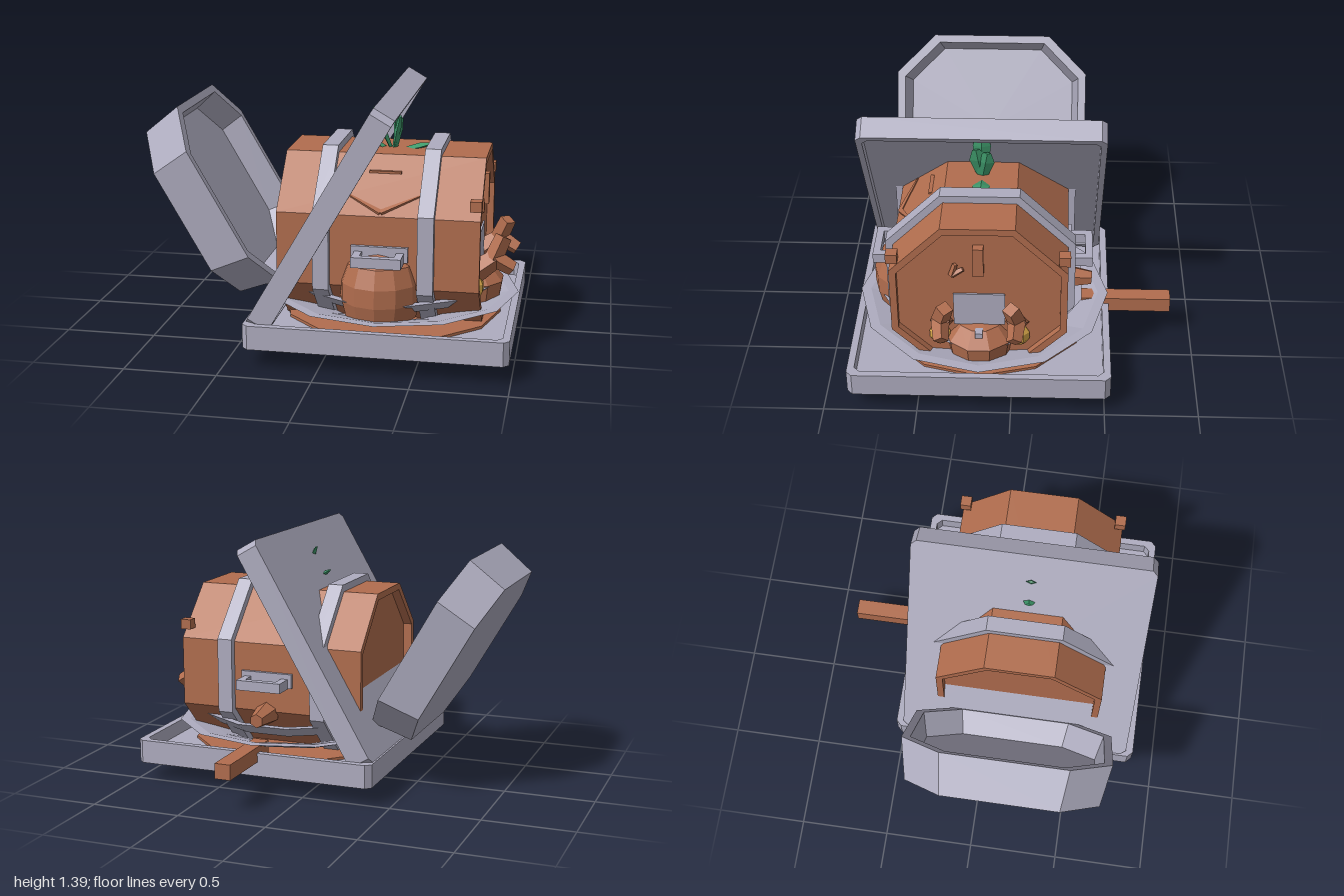
import * as THREE from 'three';

const wood = new THREE.MeshStandardMaterial({ color: 0xb16d4e });
const metal = new THREE.MeshStandardMaterial({ color: 0xaeacbf });
const leafGreen = new THREE.MeshStandardMaterial({ color: 0x3f9a6c });
const gold = new THREE.MeshStandardMaterial({ color: 0xd9a94a });
const metalSheet = new THREE.MeshStandardMaterial({ color: 0xaeacbf, side: THREE.DoubleSide });

const CX = 0.295, CZ = 0.17;

// Outline of a rectangle with cut corners, in the x-z plane
function cutRect(hx, hz, c) {
  return [[hx, -hz + c], [hx, hz - c], [hx - c, hz], [-hx + c, hz],
    [-hx, hz - c], [-hx, -hz + c], [-hx + c, -hz], [hx - c, -hz]];
}

// Regular outline with n sides
function ngon(n, r, turn = 0) {
  return Array.from({ length: n }, (_, i) => {
    const a = (i / n) * Math.PI * 2 + turn;
    return [r * Math.cos(a), r * Math.sin(a)];
  });
}

// Flat-shaded loft of an outline through [scale, height] rings
function loft(outline, rings) {
  const pos = [], n = outline.length;
  const at = (k, i) => {
    const [s, h] = rings[k], p = outline[i % n];
    return [p[0] * s, h, p[1] * s];
  };
  for (let k = 0; k < rings.length - 1; k++) {
    for (let i = 0; i < n; i++) {
      const a = at(k, i), b = at(k + 1, i), c = at(k + 1, i + 1), d = at(k, i + 1);
      if (rings[k + 1][0] > 0) pos.push(...a, ...b, ...c);
      if (rings[k][0] > 0) pos.push(...a, ...c, ...d);
    }
  }
  const g = new THREE.BufferGeometry();
  g.setAttribute('position', new THREE.Float32BufferAttribute(pos, 3));
  return g;
}

export function createModel() {
  const root = new THREE.Group();

  function add(name, geo, mat, x = 0, y = 0, z = 0, rz = 0) {
    const g = geo.index ? geo.toNonIndexed() : geo;
    g.computeVertexNormals();
    const m = new THREE.Mesh(g, mat);
    m.name = name;
    m.position.set(x, y, z);
    m.rotation.z = rz;
    root.add(m);
    return m;
  }
  const box = (name, mat, w, h, d, x, y, z, rz = 0) =>
    add(name, new THREE.BoxGeometry(w, h, d), mat, x, y, z, rz);

  // Tapered square bar between two points
  function bar(name, mat, a, b, r0, r1, sides = 4) {
    const p = new THREE.Vector3(...a), q = new THREE.Vector3(...b);
    const d = q.clone().sub(p);
    const m = add(name, new THREE.CylinderGeometry(r1, r0, d.length(), sides), mat);
    m.position.copy(p).add(q).multiplyScalar(0.5);
    m.quaternion.setFromUnitVectors(new THREE.Vector3(0, 1, 0), d.normalize());
    return m;
  }

  // Square tray, and its raised lid with the recess facing down
  add('tray', loft(cutRect(0.695, 0.70, 0.03),
    [[0, 0], [1, 0], [1, 0.13], [0.945, 0.13], [0.945, 0.05], [0, 0.05]]), metal, CX, 0.11, CZ);
  add('lid', loft(cutRect(0.67, 0.657, 0.03),
    [[0, 0], [1, 0], [1, 0.125], [0.95, 0.125], [0.95, 0.08], [0, 0.08]]),
  metal, -0.055, 0.82, CZ, -Math.PI * 2 / 3);

  // Eight-sided tub leaning outwards
  add('leaningTub', loft(cutRect(0.54, 0.555, 0.22),
    [[0, 0], [0.93, 0], [1, 0.235], [0.92, 0.235], [0.86, 0.1], [0, 0.1]]),
  metal, -0.755, 0.725, 0.165, -Math.PI / 3);

  // Barrel with recessed ends, lying along x
  const oct = ngon(8, 1 / Math.cos(Math.PI / 8), Math.PI / 8);
  const L = 1.07, A = 0.463;
  add('barrel', loft(oct, [[0, 0.05], [A * 0.92, 0.05], [A * 0.92, 0], [A, 0], [A, L],
    [A * 0.92, L], [A * 0.92, L - 0.04], [0, L - 0.04]]), wood, -0.26, 0.605, CZ, -Math.PI / 2);
  for (const x of [-0.06, 0.49]) {
    add('barrelBand', loft(oct, [[0.45, 0], [0.503, 0], [0.503, 0.085], [0.45, 0.085]]),
      metal, x, 0.605, CZ, -Math.PI / 2);
  }

  // End face: plate, nose peg and cracked sliver
  box('endPlate', metal, 0.01, 0.2, 0.27, 0.778, 0.535, CZ);
  box('nosePeg', wood, 0.05, 0.17, 0.055, 0.79, 0.86, CZ);
  bar('splinter', wood, [0.785, 0.76, 0.31], [0.785, 0.8, 0.25], 0.018, 0.014);
  bar('splinter', wood, [0.785, 0.76, 0.31], [0.785, 0.83, 0.29], 0.018, 0.014);

  // Forked branches, corner pegs and nuggets on both sides of the end
  for (const s of [-1, 1]) {
    const z = (d) => CZ + s * d;
    bar('branch', wood, [0.76, 0.44, z(0.2)], [0.88, 0.53, z(0.2)], 0.065, 0.05);
    bar('branchUpperFork', wood, [0.86, 0.52, z(0.2)], [0.91, 0.64, z(0.17)], 0.05, 0.045);
    bar('branchLowerFork', wood, [0.86, 0.53, z(0.2)], [0.965, 0.47, z(0.19)], 0.05, 0.04);
    box('cornerPeg', wood, 0.06, 0.055, 0.06, 0.785, 0.875, z(0.445));
    const nugget = new THREE.SphereGeometry(0.06, 7, 5);
    nugget.scale(0.8, 1.1, 1);
    add('nugget', nugget, gold, 0.77, 0.365, z(0.21));
    // Grey carrying handles
    const hz = z(0.6);
    box('handleBar', metal, 0.26, 0.055, 0.04, 0.29, 0.585, hz - s * 0.02);
    for (const x of [0.18, 0.4]) box('handleArm', metal, 0.04, 0.055, 0.17, x, 0.585, hz - s * 0.1);
    box('handlePlate', metal, 0.3, 0.08, 0.03, 0.29, 0.6, z(0.47));
  }

  // Rounded jug at the front and a squat pot at the end
  const jug = new THREE.LatheGeometry([[0, 0], [0.19, 0], [0.215, 0.1], [0.215, 0.2],
    [0.18, 0.3], [0.09, 0.36], [0, 0.41]].map((p) => new THREE.Vector2(...p)), 12);
  add('jug', jug, wood, 0.285, 0.24, 0.565);
  const pot = new THREE.LatheGeometry([[0, 0], [0.17, 0], [0.19, 0.12], [0.12, 0.2], [0, 0.22]]
    .map((p) => new THREE.Vector2(...p)), 10);
  add('squatPot', pot, wood, 0.72, 0.23, CZ);
  box('potPeg', metal, 0.05, 0.03, 0.04, 0.84, 0.42, CZ);
  bar('backPeg', wood, [0.3, 0.4, -0.27], [0.3, 0.39, -0.43], 0.07, 0.04, 6);

  // Flared plates around the barrel, over a brown base
  add('lowerPlate', loft(ngon(12, 1),
    [[0.42, 0.2], [0.56, 0.235], [0.695, 0.28], [0.64, 0.28], [0.52, 0.25], [0.42, 0.22]]),
  metalSheet, CX, 0, CZ);
  add('upperPlate', loft(ngon(12, 1, Math.PI / 12),
    [[0.4, 0.26], [0.48, 0.28], [0.565, 0.345], [0.52, 0.345], [0.4, 0.29]]),
  metalSheet, CX, 0, CZ);
  add('trayFilling', new THREE.CylinderGeometry(0.6, 0.6, 0.02, 12), wood, CX, 0.165, CZ);

  // Brown stain ring under the tray
  const stain = new THREE.RingGeometry(0.33, 0.54, 20);
  stain.rotateX(Math.PI / 2);
  add('underStain', stain, wood, CX, 0.108, CZ);

  // Rolling pin sunk into the underside
  const pin = new THREE.CylinderGeometry(0.127, 0.127, 0.67, 6, 1, false, Math.PI / 6);
  pin.rotateY(Math.PI / 6);
  pin.rotateX(Math.PI / 2);
  pin.rotateY(Math.PI / 2);
  pin.rotateX(Math.PI / 6);
  add('rollingPin', pin, wood, CX, 0.118, CZ);
  for (const s of [-1, 1]) {
    const grip = new THREE.LatheGeometry([[0, 0], [0.045, 0], [0.04, 0.08], [0.055, 0.2],
      [0.05, 0.27], [0, 0.27]].map((p) => new THREE.Vector2(...p)), 6);
    add('pinGrip', grip, wood, CX + s * 0.33, 0.113, CZ, -s * Math.PI / 2);
  }
  box('leafStub', leafGreen, 0.15, 0.035, 0.05, CX, 0.092, 0.275);

  // Stick handle out of the back of the tray
  box('stickHandle', wood, 0.09, 0.085, 0.5, 0.297, 0.232, -0.625);

  // Slot and carved creases on the front of the barrel
  box('slot', wood, 0.17, 0.012, 0.02, 0.29, 0.99, 0.445);
  for (const s of [-1, 1]) {
    bar('crease', wood, [0.29, 0.81, 0.615], [0.29 + s * 0.2, 0.895, 0.54], 0.02, 0.005);
  }

  // Leaf tuft: [base x, tip x, tip y, z spread]
  const blades = [[0.3, 0.31, 1.36, 0], [0.29, 0.33, 1.24, 0.03], [0.28, 0.18, 1.28, 0],
    [0.26, 0.1, 1.15, 0], [0.3, 0.33, 1.22, -0.03], [0.33, 0.49, 1.09, 0]];
  for (const [x0, x1, y1, dz] of blades) {
    const a = new THREE.Vector3(x0, 1.05, CZ), b = new THREE.Vector3(x1, y1, CZ + dz);
    const d = b.clone().sub(a), len = d.length();
    const blade = loft([[0.35, 0], [0, 1], [-0.35, 0], [0, -1]],
      [[0, 0], [0.025, 0], [0.048, len * 0.65], [0.02, len], [0, len]]);
    const m = add('leafBlade', blade, leafGreen);
    m.position.copy(a);
    m.quaternion.setFromUnitVectors(new THREE.Vector3(0, 1, 0), d.normalize());
  }

  return root;
}
